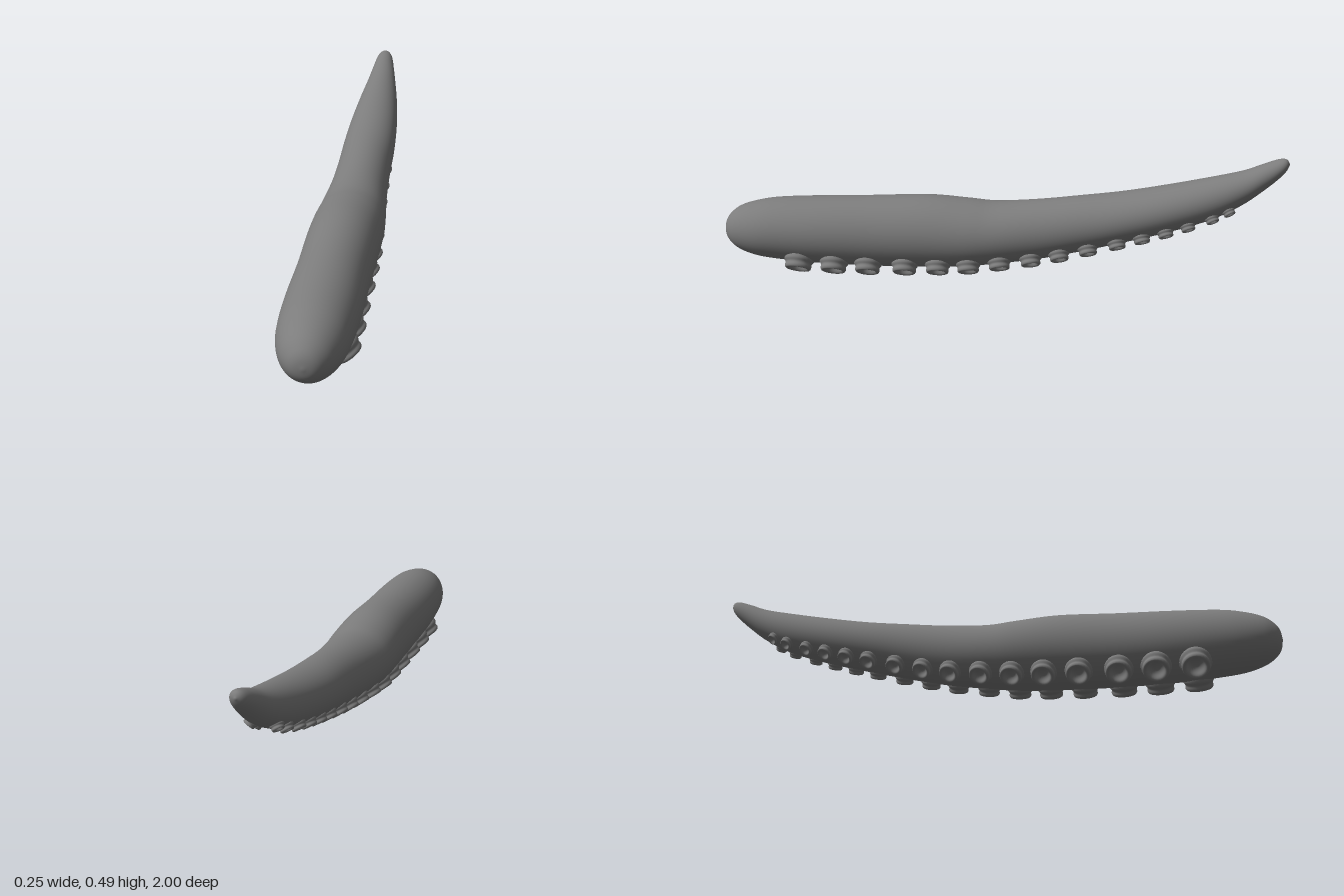
import * as THREE from 'three';

// Body stations: z, top y, bottom y, half width
const STATIONS = [
  [1.0, 0.14, 0.14, 0], [0.993, 0.174, 0.107, 0.033], [0.975, 0.2, 0.083, 0.058],
  [0.94, 0.225, 0.06, 0.083], [0.88, 0.245, 0.042, 0.104], [0.8, 0.26, 0.033, 0.116],
  [0.65, 0.272, 0.026, 0.123], [0.45, 0.284, 0.026, 0.122], [0.25, 0.297, 0.034, 0.126],
  [0.1, 0.29, 0.045, 0.126], [0.0, 0.285, 0.06, 0.119], [-0.15, 0.3, 0.085, 0.106],
  [-0.3, 0.322, 0.122, 0.1], [-0.45, 0.345, 0.165, 0.099], [-0.6, 0.377, 0.21, 0.092],
  [-0.75, 0.414, 0.265, 0.076], [-0.85, 0.442, 0.322, 0.059], [-0.92, 0.472, 0.378, 0.044],
  [-0.965, 0.489, 0.42, 0.033], [-0.988, 0.489, 0.447, 0.02], [-1.0, 0.472, 0.472, 0],
];

const spline = (fn) => new THREE.CatmullRomCurve3(STATIONS.map(fn), false, 'catmullrom', 0.5);
const outline = spline(([z, top, bottom]) => new THREE.Vector3(top, bottom, z));
const widths = spline(([z, , , w]) => new THREE.Vector3(w, 0, z));

// Ellipse of the body at curve parameter t
function section(t) {
  const o = outline.getPoint(t);
  return { z: o.z, y: (o.x + o.y) / 2, h: Math.max(0, (o.x - o.y) / 2), w: Math.max(0, widths.getPoint(t).x) };
}

function sectionAtZ(z) {
  let lo = 0, hi = 1;
  for (let i = 0; i < 30; i++) {
    const mid = (lo + hi) / 2;
    if (outline.getPoint(mid).z > z) lo = mid; else hi = mid;
  }
  return section(lo);
}

function surfacePoint(s, a) {
  return new THREE.Vector3(s.w * Math.cos(a), s.y + s.h * Math.sin(a), s.z);
}

// Body lofted through the elliptical sections
function bodyGeometry(rings = 100, sides = 48) {
  const positions = [], index = [];
  for (let i = 0; i <= rings; i++) {
    const s = section(i / rings);
    for (let j = 0; j < sides; j++) {
      positions.push(...surfacePoint(s, (j / sides) * Math.PI * 2).toArray());
      if (i === rings) continue;
      const a = i * sides + j, b = i * sides + (j + 1) % sides;
      index.push(a, a + sides, b + sides, a, b + sides, b);
    }
  }
  const g = new THREE.BufferGeometry();
  g.setAttribute('position', new THREE.Float32BufferAttribute(positions, 3));
  g.setIndex(index);
  g.computeVertexNormals();
  // The poles look straight along the body
  const normals = g.attributes.normal;
  for (let j = 0; j < sides; j++) {
    normals.setXYZ(j, 0, 0, 1);
    normals.setXYZ(rings * sides + j, 0, 0, -1);
  }
  return g;
}

// Bulging base, slight neck, rounded rim and a hollow centre
function suckerGeometry() {
  const profile = new THREE.SplineCurve([
    [0.9, -0.7], [1.02, -0.3], [1.04, 0], [0.9, 0.22], [0.92, 0.46],
    [0.82, 0.62], [0.64, 0.55], [0.48, 0.25], [0.28, 0.08], [0, 0.04],
  ].map(([r, y]) => new THREE.Vector2(r, y)));
  const points = profile.getPoints(27);
  points[27].x = 0;
  return new THREE.LatheGeometry(points, 24);
}

export function createModel() {
  const group = new THREE.Group();
  group.name = 'tentacle';
  const material = new THREE.MeshStandardMaterial({ color: 0x7c7c7c, side: THREE.DoubleSide });

  const body = new THREE.Mesh(bodyGeometry(), material);
  body.name = 'body';
  group.add(body);

  // Two rows of suckers along the underside, shrinking towards the tip
  const cup = suckerGeometry();
  const zs = [0.71, 0.58, 0.455, 0.32, 0.2, 0.09, -0.02, -0.13, -0.23, -0.33, -0.43, -0.515, -0.595, -0.67, -0.75, -0.805];
  const up = new THREE.Vector3(0, 1, 0);
  zs.forEach((z, i) => {
    const radius = 0.052 - 0.03 * (i / (zs.length - 1));
    const s = sectionAtZ(z), ahead = sectionAtZ(z - 0.03), behind = sectionAtZ(z + 0.03);
    for (const side of [1, -1]) {
      const angle = -Math.PI / 2 + side * 0.65;
      const sucker = new THREE.Mesh(cup, material);
      sucker.name = side > 0 ? 'leftSucker' : 'rightSucker';
      sucker.position.copy(surfacePoint(s, angle));
      // Normal of the body surface, including its slope along the length
      const along = surfacePoint(ahead, angle).sub(surfacePoint(behind, angle));
      const around = new THREE.Vector3(-s.w * Math.sin(angle), s.h * Math.cos(angle), 0);
      const normal = along.cross(around).normalize();
      sucker.quaternion.setFromUnitVectors(up, normal);
      sucker.scale.setScalar(radius);
      group.add(sucker);
    }
  });
  return group;
}
